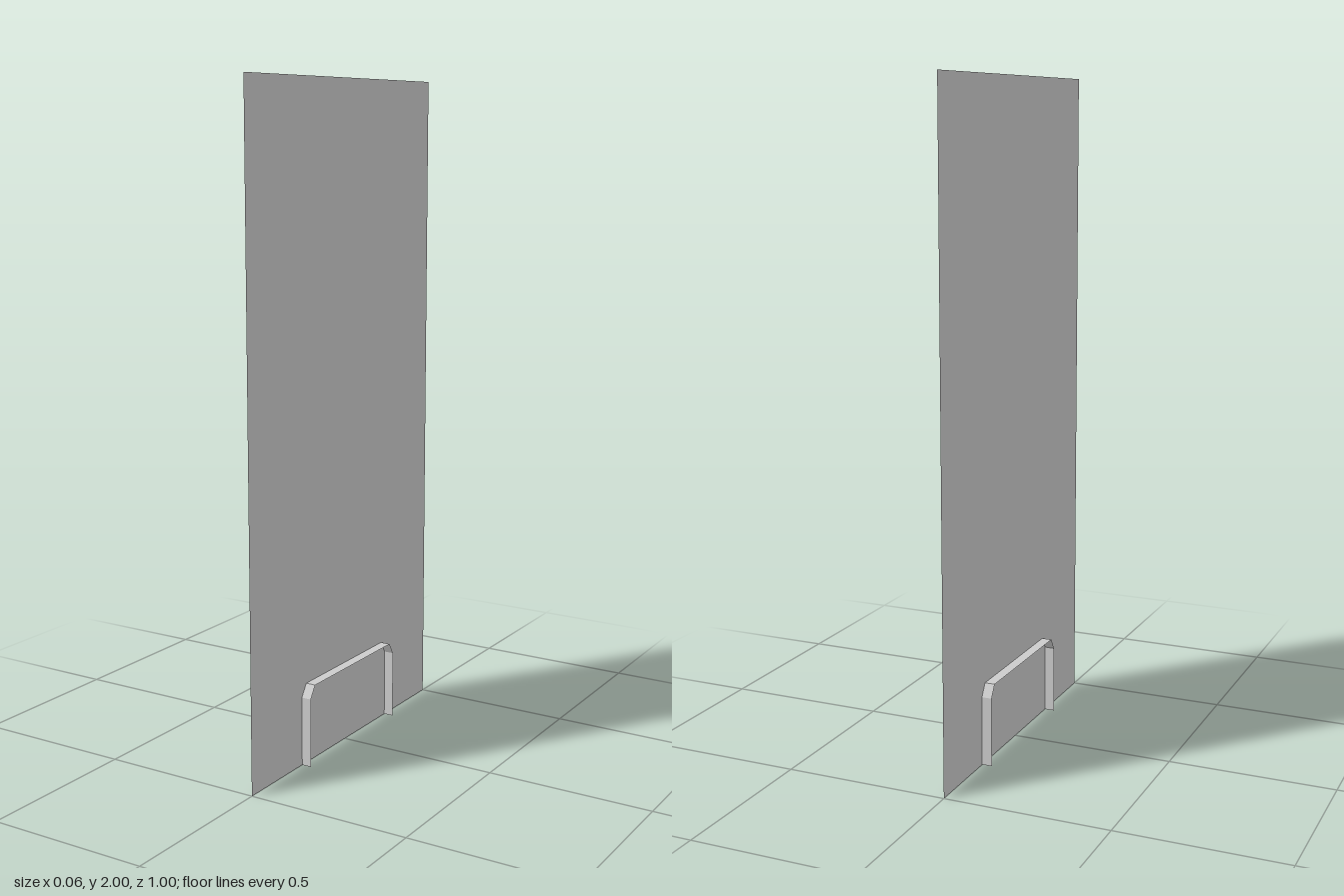
import * as THREE from 'three';

const material = new THREE.MeshStandardMaterial({
  color: 0xcccccc, side: THREE.DoubleSide, flatShading: true,
});

// Flat ribbon of the given width in x, following [z, y] points
function ribbon(path, width) {
  const h = width / 2;
  const positions = [];
  for (let i = 0; i < path.length - 1; i++) {
    const [z0, y0] = path[i];
    const [z1, y1] = path[i + 1];
    positions.push(
      -h, y0, z0, h, y0, z0, h, y1, z1,
      -h, y0, z0, h, y1, z1, -h, y1, z1,
    );
  }
  const geometry = new THREE.BufferGeometry();
  geometry.setAttribute('position', new THREE.Float32BufferAttribute(positions, 3));
  geometry.computeVertexNormals();
  return geometry;
}

export function createModel() {
  const model = new THREE.Group();
  model.name = 'panelWithArch';

  // Tall upright sheet lying in the x = 0 plane
  const panel = new THREE.Mesh(new THREE.PlaneGeometry(1, 2), material);
  panel.name = 'panel';
  panel.rotation.y = Math.PI / 2;
  panel.position.y = 1;
  model.add(panel);

  // Low arch strip with bevelled corners, passing through the sheet
  const archPath = [
    [0.24, 0], [0.24, 0.21], [0.216, 0.247],
    [-0.221, 0.247], [-0.243, 0.21], [-0.243, 0],
  ];
  const arch = new THREE.Mesh(ribbon(archPath, 0.062), material);
  arch.name = 'archStrip';
  model.add(arch);

  return model;
}
